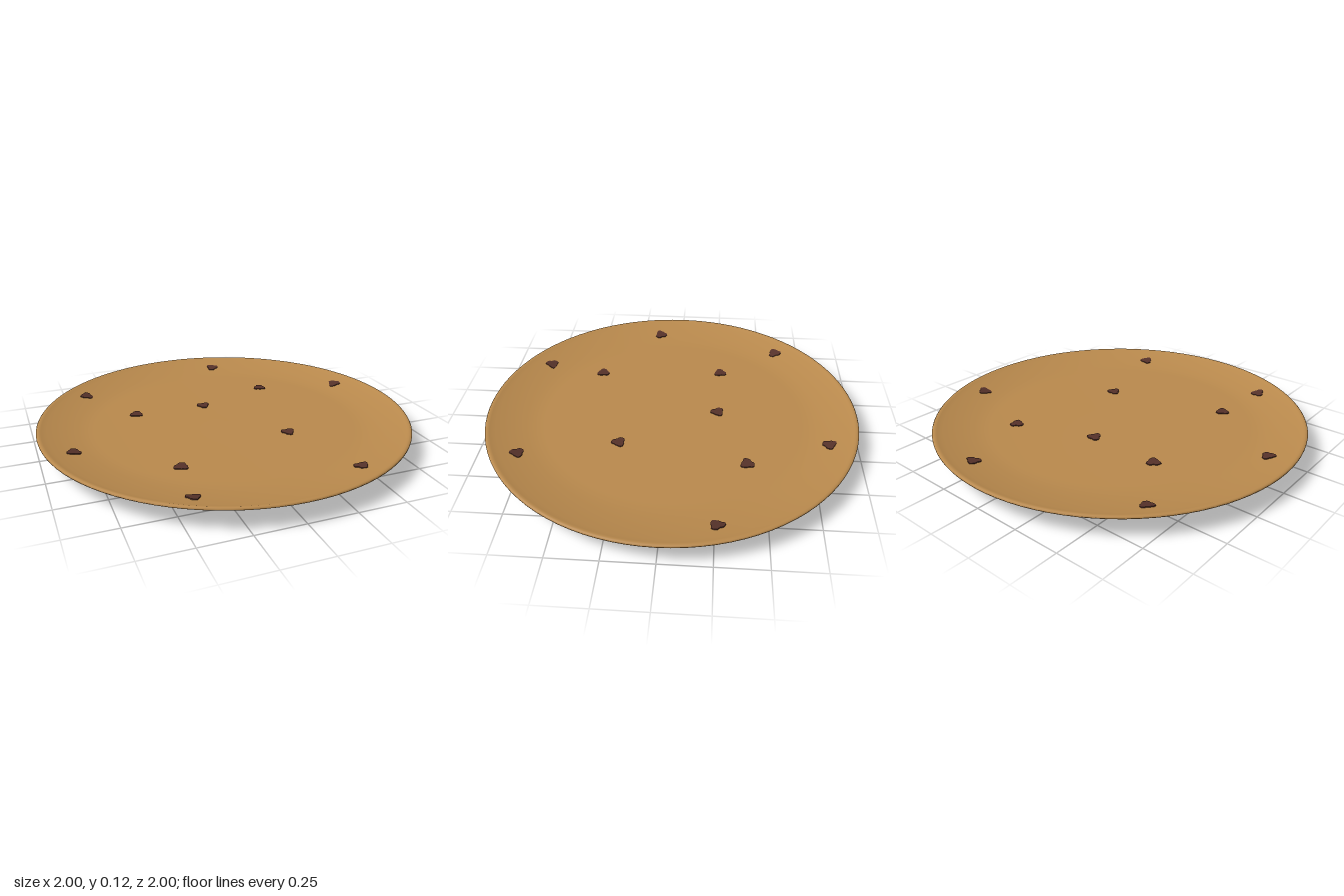
import * as THREE from 'three';

// radius, height pairs
const UNDERSIDE = [
  [0, 0.014], [0.36, 0.013], [0.41, 0.002], [0.43, 0], [0.56, 0], [0.575, 0.005], [0.605, 0.02],
  [0.77, 0.03], [0.9, 0.057], [0.97, 0.086], [0.993, 0.1],
];
const RIM = [[0.999, 0.104], [1, 0.109], [0.995, 0.114], [0.985, 0.115], [0.975, 0.112]];
const BOWL = [[0.95, 0.104], [0.87, 0.087], [0.79, 0.075], [0.74, 0.071], [0.7, 0.07], [0, 0.07]];

// Height and slope of the upper surface at a radius
function surfaceAt(r) {
  for (let i = 0; i < BOWL.length - 1; i++) {
    const [r1, y1] = BOWL[i], [r0, y0] = BOWL[i + 1];
    if (r >= r0 && r <= r1) {
      const slope = (y1 - y0) / (r1 - r0);
      return { y: y0 + slope * (r - r0), slope };
    }
  }
  return { y: 0.07, slope: 0 };
}

// Flat three-lobed fleck
function fleckGeometry() {
  const points = [];
  for (let i = 0; i < 36; i++) {
    const a = (i / 36) * Math.PI * 2;
    const r = 0.033 + 0.006 * Math.cos(3 * a) + 0.0015 * Math.sin(7 * a);
    points.push(new THREE.Vector2(Math.cos(a) * r, Math.sin(a) * r));
  }
  const geometry = new THREE.ExtrudeGeometry(new THREE.Shape(points), { depth: 0.006, bevelEnabled: false });
  return geometry.rotateX(-Math.PI / 2);
}

export function createModel() {
  const model = new THREE.Group();
  model.name = 'plate';
  const glaze = new THREE.MeshStandardMaterial({ color: 0xba8a4d });
  glaze.name = 'tan glaze';
  const brown = new THREE.MeshStandardMaterial({ color: 0x56322a });
  brown.name = 'dark brown';

  // Dish with a foot ring and a rounded rim
  const profile = [...UNDERSIDE, ...RIM, ...BOWL].map(([r, y]) => new THREE.Vector2(r, y));
  const dish = new THREE.Mesh(new THREE.LatheGeometry(profile, 96), glaze);
  dish.name = 'dish';
  model.add(dish);

  // Flecks lying on the dish: x, z, turn in degrees
  const flecks = new THREE.Group();
  flecks.name = 'flecks';
  const geometry = fleckGeometry();
  const up = new THREE.Vector3(0, 1, 0);
  [
    [0.23, -0.83, 0], [-0.65, -0.595, 80], [0.39, -0.405, 190], [-0.43, -0.26, 190],
    [-0.035, -0.25, 270], [0.835, -0.26, 95], [-0.84, 0.13, 85], [0.265, 0.26, 270],
    [-0.385, 0.44, 185], [-0.43, 0.76, 265], [0.405, 0.76, 270],
  ].forEach(([x, z, turn], i) => {
    const r = Math.hypot(x, z);
    const { y, slope } = surfaceAt(r);
    const normal = new THREE.Vector3(-slope * x / r, 1, -slope * z / r).normalize();
    const fleck = new THREE.Mesh(geometry, brown);
    fleck.name = `fleck${i + 1}`;
    fleck.position.set(x, y - 0.001, z);
    fleck.quaternion.setFromUnitVectors(up, normal)
      .multiply(new THREE.Quaternion().setFromAxisAngle(up, THREE.MathUtils.degToRad(turn)));
    flecks.add(fleck);
  });
  model.add(flecks);
  return model;
}
